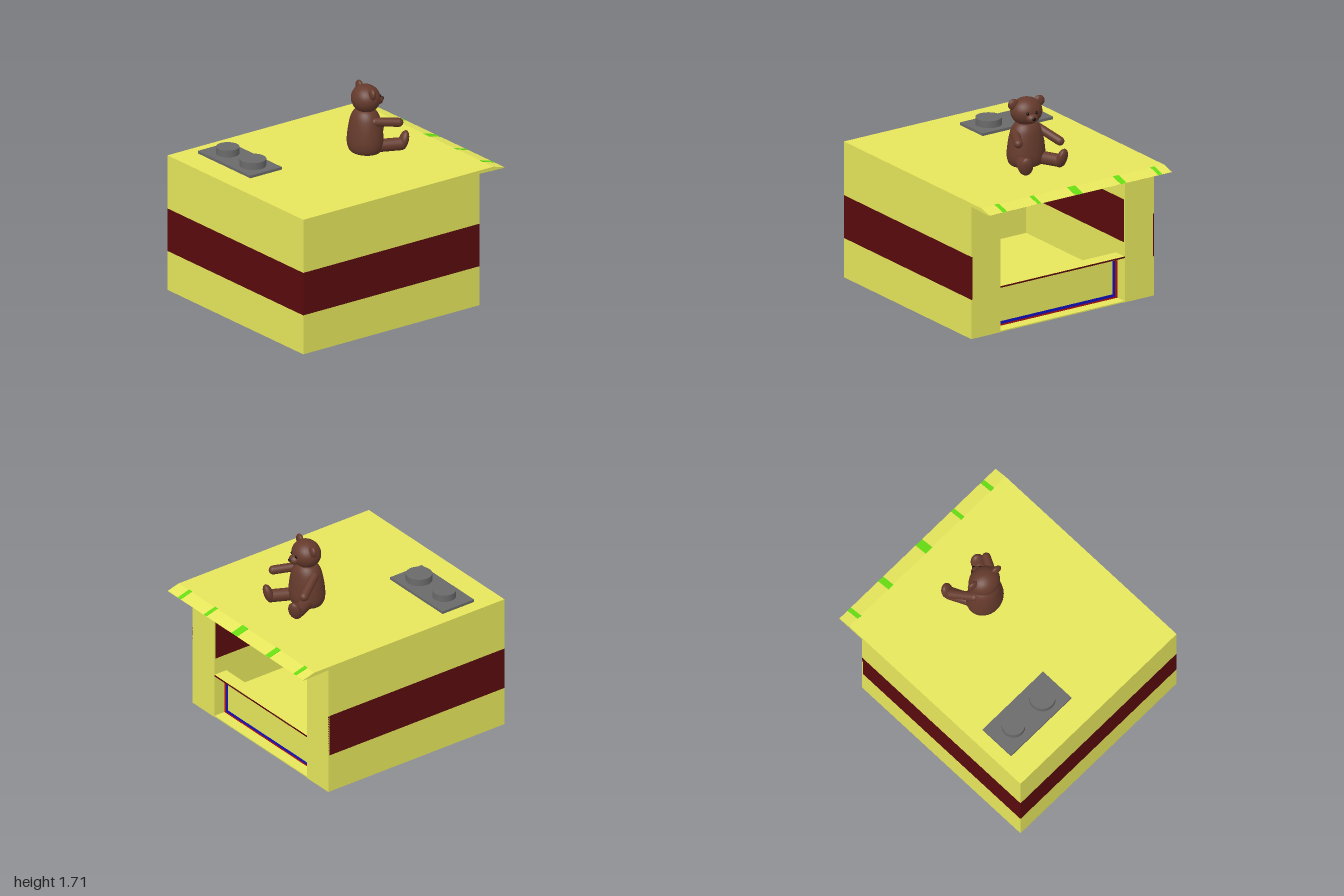
import * as THREE from 'three';

const mat = (color) => new THREE.MeshStandardMaterial({ color });
const yellow = mat(0xe6e65c), maroon = mat(0x5a0a0d), red = mat(0xb01014), blue = mat(0x1010c0);
const green = mat(0x66dd11), grey = mat(0x6a6a6a), fur = mat(0x653a2c), black = mat(0x0c0808);

function add(parent, name, geometry, material, x = 0, y = 0, z = 0) {
  const mesh = new THREE.Mesh(geometry, material);
  mesh.name = name;
  mesh.position.set(x, y, z);
  parent.add(mesh);
  return mesh;
}

// box given by its two extreme corners
function block(parent, name, material, [x0, y0, z0], [x1, y1, z1]) {
  return add(parent, name, new THREE.BoxGeometry(x1 - x0, y1 - y0, z1 - z0), material,
    (x0 + x1) / 2, (y0 + y1) / 2, (z0 + z1) / 2);
}

// side profile in x and y, drawn out along z
function slab(parent, name, material, points, z0, z1) {
  const shape = new THREE.Shape(points.map(([x, y]) => new THREE.Vector2(x, y)));
  const geometry = new THREE.ExtrudeGeometry(shape, { depth: z1 - z0, bevelEnabled: false });
  return add(parent, name, geometry, material, 0, 0, z0);
}

function ball(parent, name, material, [x, y, z], [rx, ry, rz]) {
  const mesh = add(parent, name, new THREE.SphereGeometry(1, 28, 20), material, x, y, z);
  mesh.scale.set(rx, ry, rz);
  return mesh;
}

// rounded limb between two points
function limb(parent, name, a, b, radius) {
  const from = new THREE.Vector3(...a), to = new THREE.Vector3(...b);
  const dir = to.clone().sub(from);
  const mesh = add(parent, name, new THREE.CapsuleGeometry(radius, dir.length(), 8, 20), fur);
  mesh.position.copy(from).add(to).multiplyScalar(0.5);
  mesh.quaternion.setFromUnitVectors(new THREE.Vector3(0, 1, 0), dir.normalize());
  return mesh;
}

function makeBooth() {
  const g = new THREE.Group();
  g.name = 'booth';
  const t = 0.01, D = 0.88, front = 0.75;

  // thin walls in three bands, the middle one a dark stripe inside and out
  const bands = [[0, 0.33, yellow], [0.33, 0.69, maroon], [0.69, 1.13, yellow]];
  for (const [y0, y1, m] of bands) {
    const part = m === maroon ? 'Stripe' : 'Wall';
    block(g, 'back' + part, m, [-1, y0, -D], [-1 + t, y1, D]);
    for (const s of [-1, 1]) {
      const z = s * (D - t / 2);
      block(g, 'side' + part, m, [-1, y0, z - t / 2], [front, y1, z + t / 2]);
    }
  }
  block(g, 'floor', yellow, [-0.995, 0, -0.875], [front - 0.005, t, 0.875]);

  // serving side: one face with an opening
  const face = new THREE.Shape();
  face.moveTo(-D, 0).lineTo(-0.6, 0).lineTo(-0.6, 1.095).lineTo(0.6, 1.095);
  face.lineTo(0.6, 0).lineTo(D, 0).lineTo(D, 1.125).lineTo(-D, 1.125);
  const faceMesh = add(g, 'servingWall',
    new THREE.ExtrudeGeometry(face, { depth: t, bevelEnabled: false }), yellow, front - t, 0, 0);
  faceMesh.rotation.y = Math.PI / 2;

  // recessed counter panel with nested frames
  block(g, 'panelRedFrame', red, [0.63, 0.005, -0.6], [0.65, 0.372, 0.6]);
  block(g, 'panelBlueFrame', blue, [0.64, 0.025, -0.575], [0.652, 0.355, 0.575]);
  block(g, 'panelCentre', yellow, [0.64, 0.05, -0.55], [0.654, 0.33, 0.55]);
  for (const z of [-0.605, 0.605]) {
    block(g, 'recessCheek', yellow, [0.63, 0, z - 0.005], [0.745, 0.372, z + 0.005]);
  }
  block(g, 'counterTop', yellow, [0.63, 0.37, -0.6], [0.748, 0.385, 0.6]);
  block(g, 'counterEdge', maroon, [0.748, 0.372, -0.6], [0.75, 0.385, 0.6]);

  // roof with a drooping awning lip and painted marks
  slab(g, 'roof', yellow, [[-1, 1.12], [front, 1.112], [0.99, 1.105], [1, 1.11], [0.89, 1.14], [-1, 1.14]], -D, D);
  const marks = [[0.73, 0.04], [0.395, 0.036], [0.015, 0.075], [-0.415, 0.056], [-0.77, 0.038]];
  for (const [z, w] of marks) {
    slab(g, 'awningMark', green, [[0.885, 1.139], [0.99, 1.106], [1, 1.111], [0.89, 1.1425], [0.885, 1.1425]],
      z - w / 2, z + w / 2);
  }
  return g;
}

function makeVent() {
  const g = new THREE.Group();
  g.name = 'roofVent';
  block(g, 'ventPlate', grey, [-0.785, 1.14, -0.767], [-0.472, 1.162, -0.087]);
  for (const [z, r] of [[-0.582, 0.093], [-0.255, 0.105]]) {
    add(g, 'ventCap', new THREE.CylinderGeometry(r, r, 0.06, 40), grey, -0.63, 1.19, z);
  }
  return g;
}

// sitting bear, built facing +x around its own seat
function makeBear() {
  const g = new THREE.Group();
  g.name = 'bear';
  g.position.set(0.275, 1.14, 0.02);

  // torso
  const profile = [[0, 0.012], [0.09, 0.012], [0.128, 0.03], [0.145, 0.09], [0.14, 0.18],
    [0.125, 0.27], [0.105, 0.33], [0.07, 0.37], [0, 0.385]].map(([r, y]) => new THREE.Vector2(r, y));
  const torso = add(g, 'torso', new THREE.LatheGeometry(new THREE.SplineCurve(profile).getPoints(30), 36), fur);
  torso.scale.set(0.95, 1, 1.1);

  // head
  const head = new THREE.Group();
  head.name = 'head';
  head.position.set(0.005, 0.46, 0);
  head.rotation.y = -0.18;
  g.add(head);
  ball(head, 'skull', fur, [0, 0, 0], [0.115, 0.113, 0.13]);
  ball(head, 'muzzle', fur, [0.1, -0.03, 0], [0.05, 0.04, 0.05]);
  ball(head, 'nose', black, [0.147, -0.025, 0], [0.012, 0.013, 0.015]);
  for (const s of [-1, 1]) {
    ball(head, 'eye', black, [0.107, 0.012, s * 0.037], [0.011, 0.012, 0.012]);
    ball(head, 'ear', fur, [0, 0.068, s * 0.112], [0.025, 0.046, 0.046]);
  }

  // limbs, the left arm lower than the right
  limb(g, 'rightArm', [0.01, 0.29, 0.11], [0.18, 0.275, 0.2], 0.036);
  limb(g, 'leftArm', [0.01, 0.3, -0.11], [0.18, 0.215, -0.2], 0.036);
  for (const s of [-1, 1]) {
    limb(g, 'leg', [0.05, 0.07, s * 0.08], [0.225, 0.072, s * 0.165], 0.052);
    const foot = ball(g, 'foot', fur, [0.25, 0.098, s * 0.172], [0.038, 0.083, 0.056]);
    foot.rotation.set(0, -s * 0.4, -0.3);
  }
  return g;
}

export function createModel() {
  const model = new THREE.Group();
  model.name = 'snackBooth';
  model.add(makeBooth(), makeVent(), makeBear());
  return model;
}
